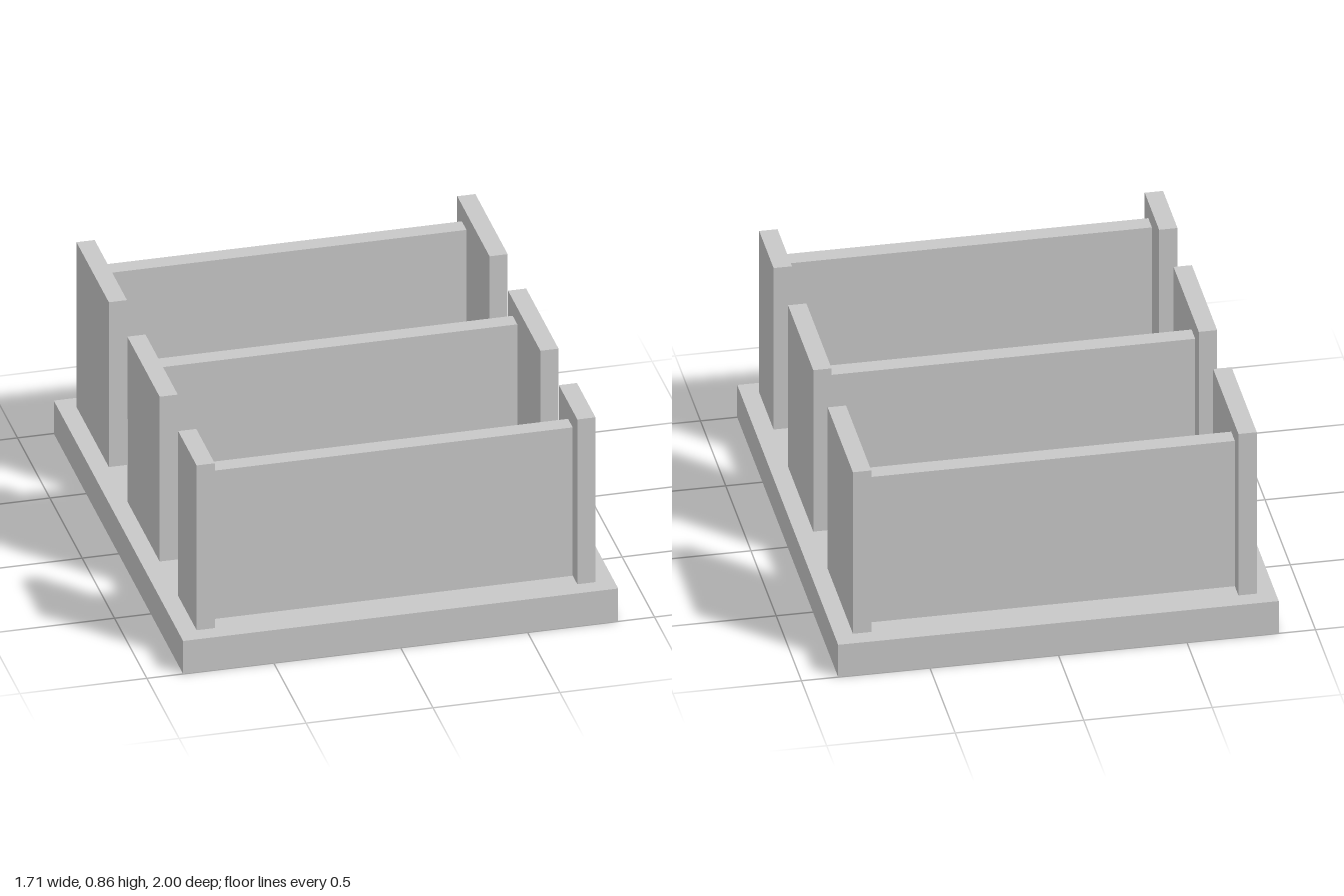
import * as THREE from 'three';

const U = 1 / 14; // one modelling unit

export function createModel() {
  const model = new THREE.Group();
  model.name = 'partitionedBase';
  const grey = new THREE.MeshStandardMaterial({ color: 0xc8c8c8 });
  grey.name = 'light grey';

  // Box given by its min and max corners, in modelling units
  const box = (name, parent, [x0, y0, z0], [x1, y1, z1]) => {
    const geometry = new THREE.BoxGeometry((x1 - x0) * U, (y1 - y0) * U, (z1 - z0) * U);
    const mesh = new THREE.Mesh(geometry, grey);
    mesh.position.set((x0 + x1) / 2 * U, (y0 + y1) / 2 * U, (z0 + z1) / 2 * U);
    mesh.name = name;
    parent.add(mesh);
  };

  // Floor slab
  box('base', model, [-12, 0, -14], [12, 2, 14]);

  // Each partition: a cross panel held between two taller side panels
  const partitions = [
    { name: 'backPartition', side: [-13, -6], panel: [-12, -11] },
    { name: 'middlePartition', side: [-2, 5], panel: [-1, 0] },
    { name: 'frontPartition', side: [9, 13], panel: [11, 12] },
  ];
  for (const { name, side, panel } of partitions) {
    const group = new THREE.Group();
    group.name = name;
    box('crossPanel', group, [-10, 2, panel[0]], [10, 11, panel[1]]);
    box('leftSidePanel', group, [10, 2, side[0]], [11, 12, side[1]]);
    box('rightSidePanel', group, [-11, 2, side[0]], [-10, 12, side[1]]);
    model.add(group);
  }
  return model;
}
